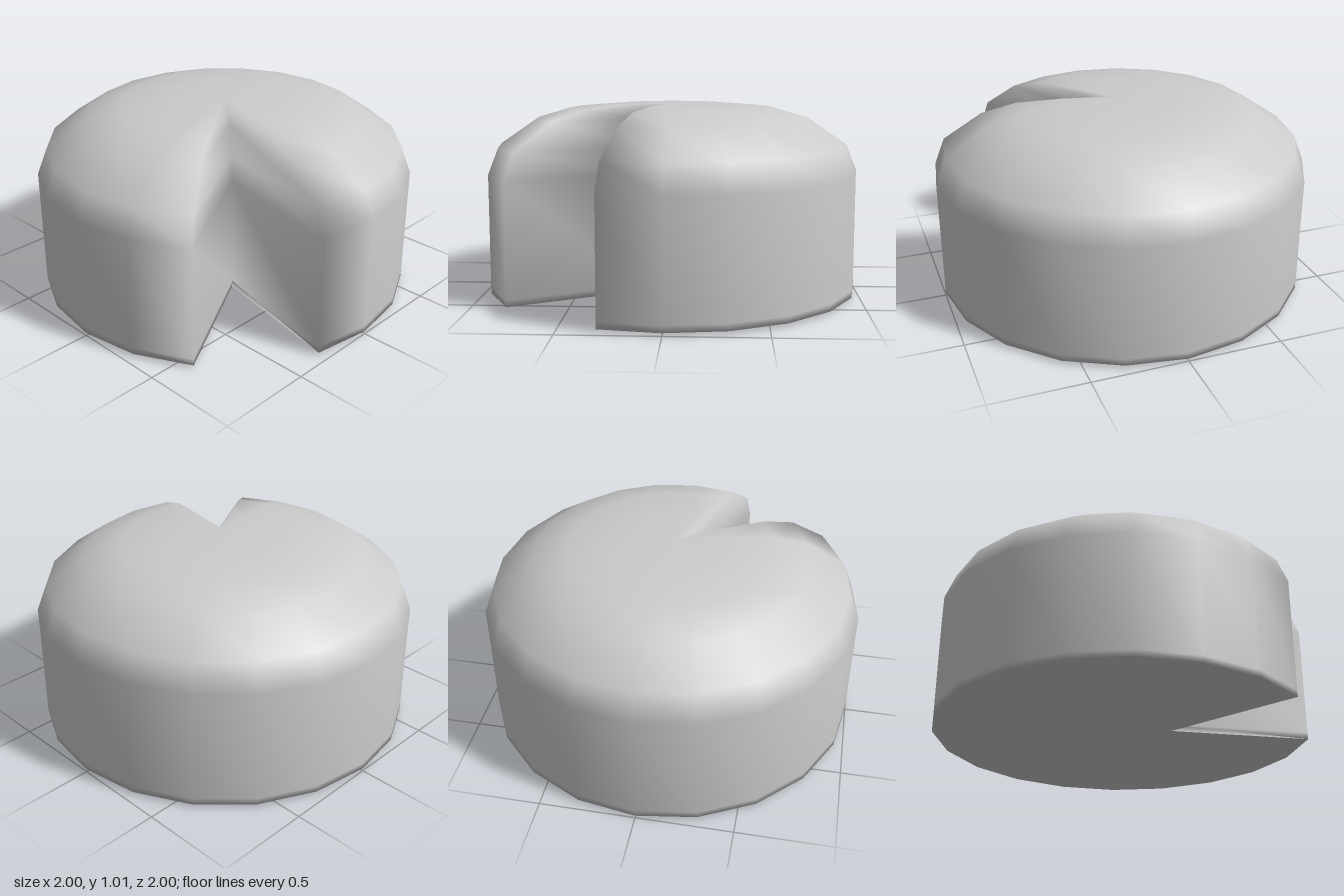
import * as THREE from 'three';
import { mergeVertices } from 'three/addons/utils/BufferGeometryUtils.js';

const SIDES = 20;
const NOTCH_COLUMN = 3; // the column of points drawn in towards the axis
const NOTCH_SCALE = 0.267;

export function createModel() {
  const group = new THREE.Group();
  group.name = 'notchedWheel';

  // Half section from the middle of the base, up the wall, to the crown
  const profile = [
    [0, 0], [1, 0.015], [1, 0.05], [1, 0.65], [0.945, 0.79],
    [0.735, 0.935], [0.55, 0.99], [0.31, 1.01], [0, 1.01],
  ].map(([r, y]) => new THREE.Vector2(r, y));
  const lathe = new THREE.LatheGeometry(profile, SIDES);

  // Pull one column inwards to open the wedge-shaped notch
  const pos = lathe.attributes.position;
  for (let j = 0; j < profile.length; j++) {
    const i = NOTCH_COLUMN * profile.length + j;
    pos.setX(i, pos.getX(i) * NOTCH_SCALE);
    pos.setZ(i, pos.getZ(i) * NOTCH_SCALE);
  }

  // Weld the seam and poles, then shade the whole surface smoothly
  lathe.deleteAttribute('normal');
  lathe.deleteAttribute('uv');
  const geometry = mergeVertices(lathe, 1e-4);
  geometry.computeVertexNormals();

  const body = new THREE.Mesh(geometry, new THREE.MeshStandardMaterial({ color: 0xcccccc }));
  body.name = 'wheelBody';
  group.add(body);
  return group;
}
